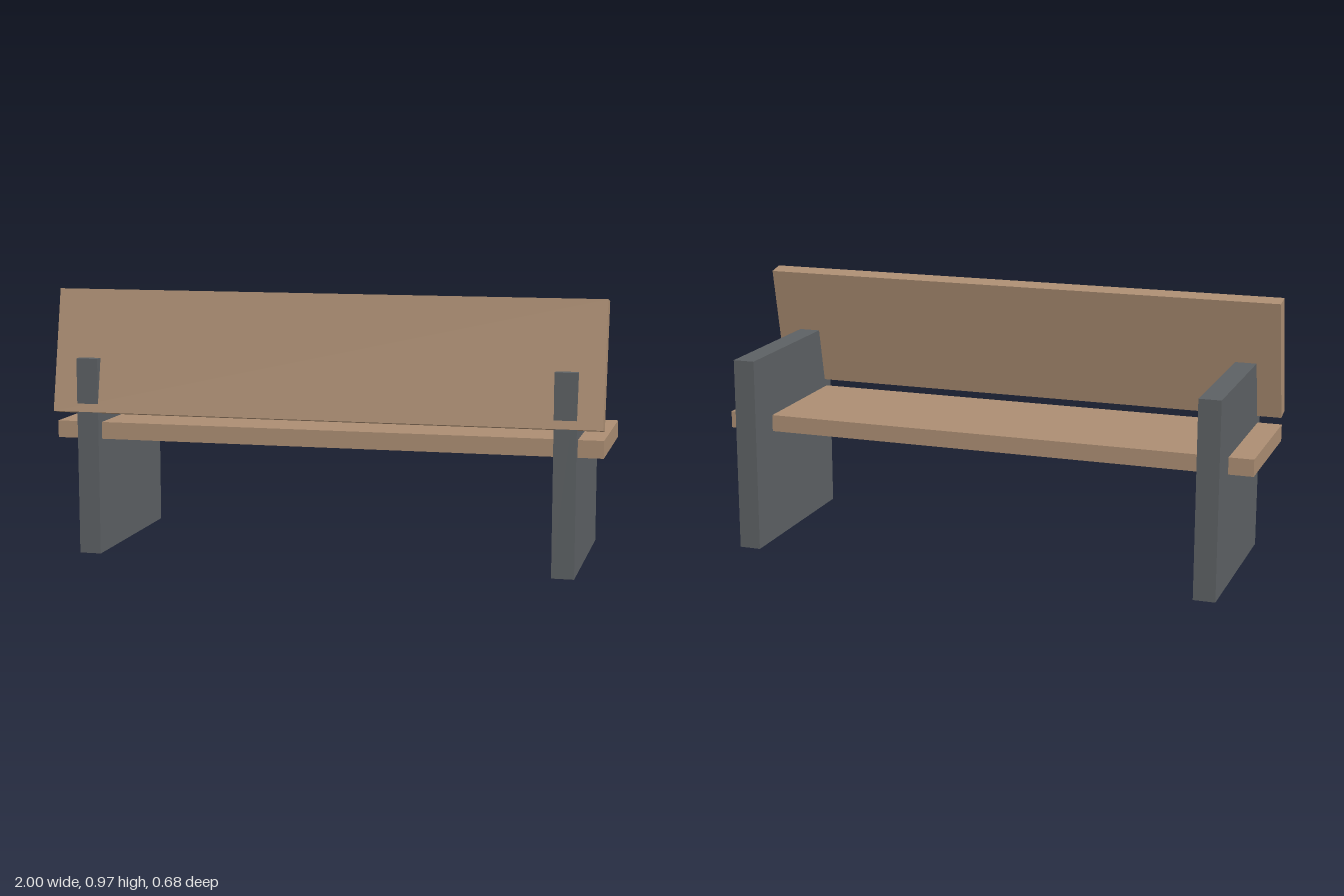
import * as THREE from 'three';

const wood = new THREE.MeshStandardMaterial({ color: 0xab8d72 });
const slate = new THREE.MeshStandardMaterial({ color: 0x5c6063 });

function slab(name, material, size, position) {
  const mesh = new THREE.Mesh(new THREE.BoxGeometry(...size), material);
  mesh.name = name;
  mesh.position.set(...position);
  return mesh;
}

export function createModel() {
  const bench = new THREE.Group();
  bench.name = 'bench';

  // Seat plank, passing through both end panels
  bench.add(slab('seat', wood, [2, 0.062, 0.494], [0, 0.453, 0.048]));

  // Backrest plank, leaning with its top towards -z
  const backrest = slab('backrest', wood, [2, 0.451, 0.06], [0, 0.74, 0.262]);
  backrest.rotation.x = -0.204;
  bench.add(backrest);

  // Upright end panels
  for (const [side, name] of [[1, 'leftEndPanel'], [-1, 'rightEndPanel']]) {
    bench.add(slab(name, slate, [0.08, 0.72, 0.67], [side * 0.87, 0.36, -0.004]));
  }
  return bench;
}
